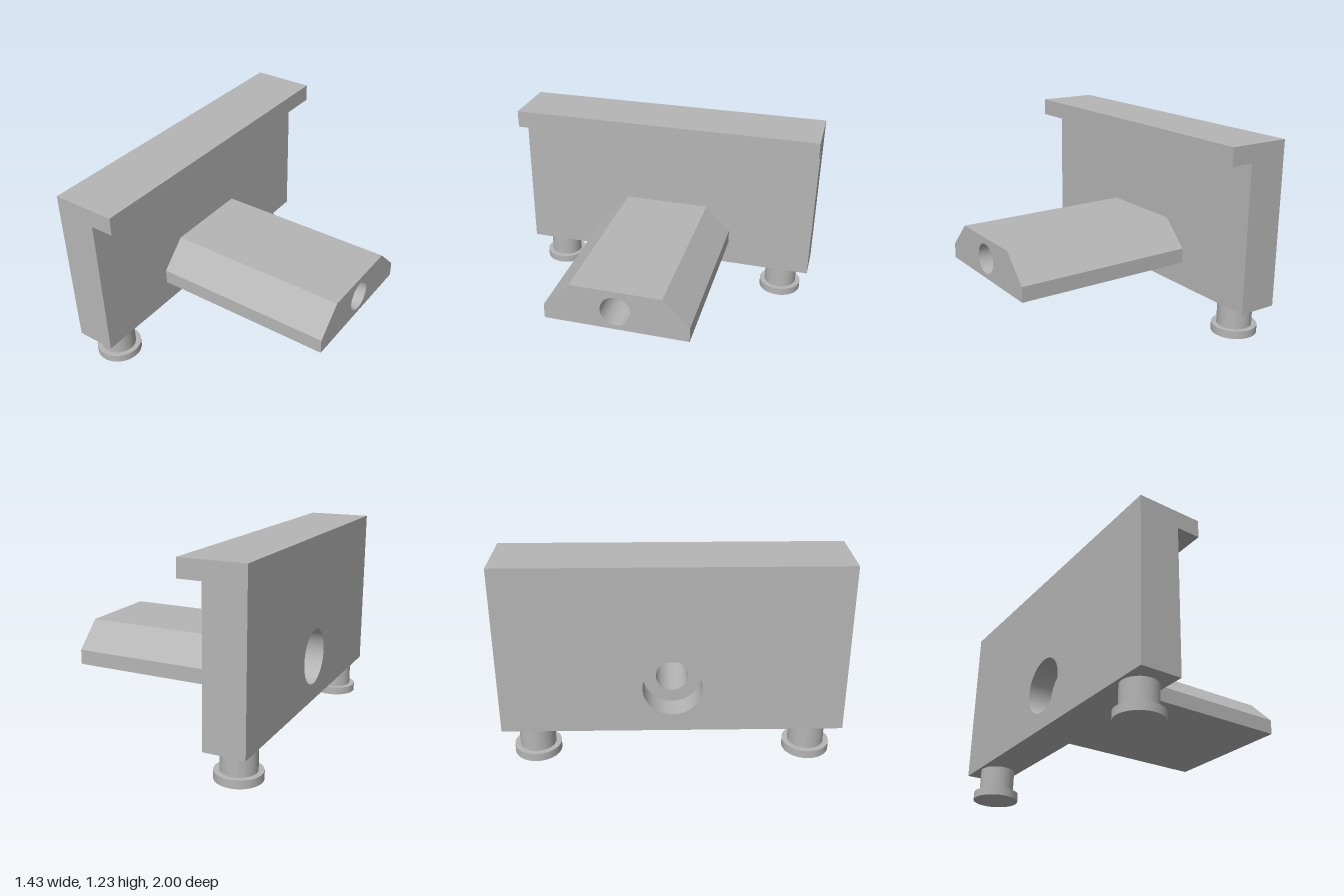
import * as THREE from 'three';
import { toCreasedNormals } from 'three/addons/utils/BufferGeometryUtils.js';

const HOLE_Y = 0.48;

export function createModel() {
  const group = new THREE.Group();
  const grey = new THREE.MeshStandardMaterial({ color: 0xb5b5b5 });
  grey.name = 'grey';

  const add = (name, geometry, x = 0, y = 0, z = 0) => {
    const mesh = new THREE.Mesh(geometry, grey);
    mesh.name = name;
    mesh.position.set(x, y, z);
    group.add(mesh);
  };

  // Extrudes a (z, y) outline with a round hole along x, from x0 to x1
  const drilled = (outline, radius, x0, x1) => {
    const shape = new THREE.Shape(outline.map(([z, y]) => new THREE.Vector2(z, y)));
    const hole = new THREE.Path();
    hole.absarc(0, HOLE_Y, radius, 0, Math.PI * 2, true);
    shape.holes.push(hole);
    const geometry = new THREE.ExtrudeGeometry(shape, {
      depth: x1 - x0, bevelEnabled: false, curveSegments: 48,
    });
    geometry.rotateY(Math.PI / 2).translate(x0, 0, 0);
    return toCreasedNormals(geometry, 0.5);
  };

  // Upright wall: a wide counterbore outside, a narrow bore inside
  const wall = [[-1, 0.2], [1, 0.2], [1, 1.225], [-1, 1.225]];
  add('wallOuter', drilled(wall, 0.172, -0.7, -0.55));
  add('wallInner', drilled(wall, 0.095, -0.55, -0.45));

  // Overhanging lip along the top of the wall
  add('lip', new THREE.BoxGeometry(0.145, 0.11, 2), -0.3775, 1.17, 0);

  // Chamfered arm with the bore running through it
  const arm = [[-0.445, 0.355], [0.445, 0.355], [0.445, 0.45],
    [0.28, 0.615], [-0.28, 0.615], [-0.445, 0.45]];
  add('arm', drilled(arm, 0.095, -0.45, 0.715));

  // Two round feet under the wall
  for (const [side, z] of [['front', 0.81], ['back', -0.81]]) {
    add(side + 'FootStem', new THREE.CylinderGeometry(0.107, 0.107, 0.15, 48), -0.575, 0.125, z);
    add(side + 'FootPad', new THREE.CylinderGeometry(0.14, 0.14, 0.05, 48), -0.575, 0.025, z);
  }
  return group;
}
